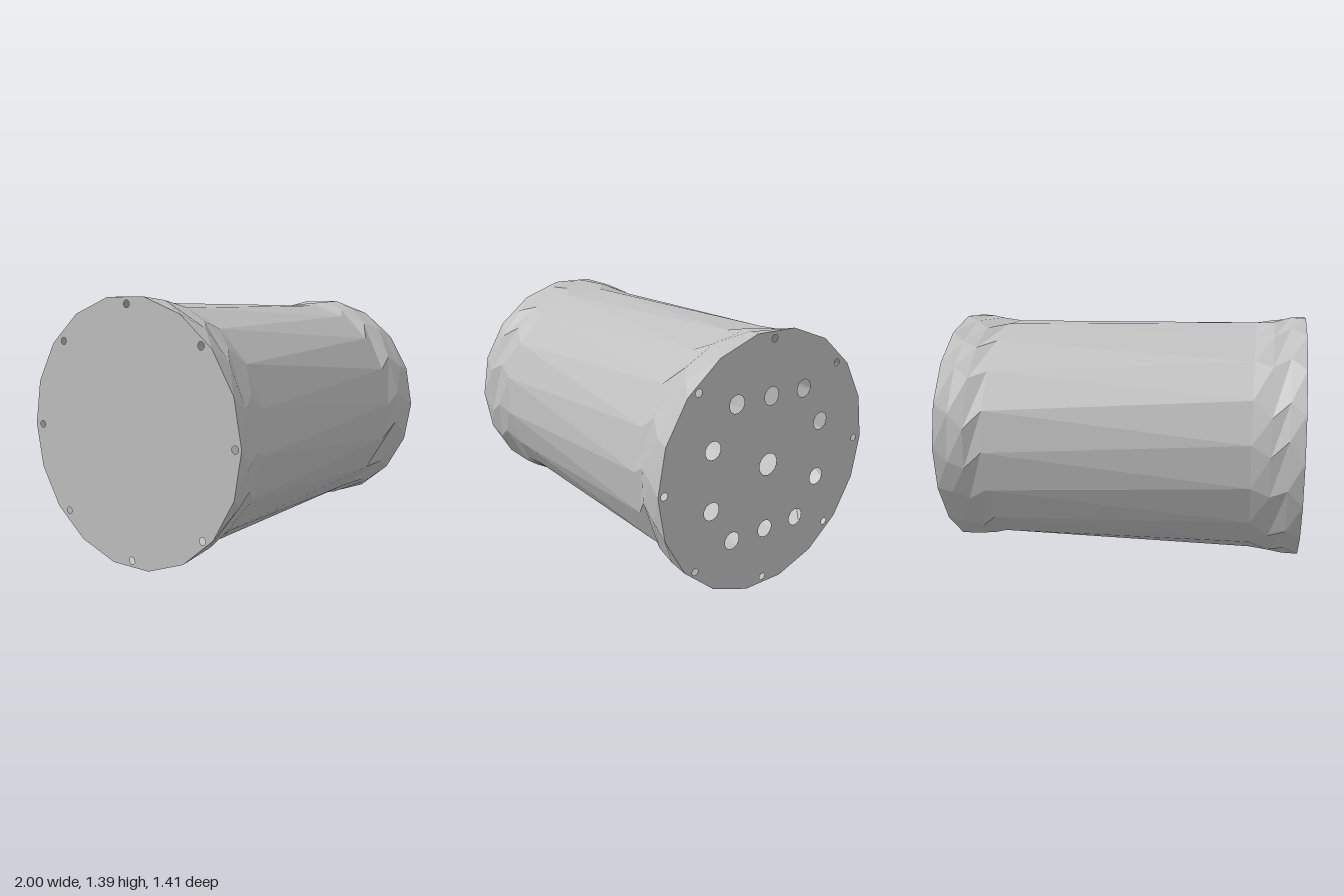
import * as THREE from 'three';

const SIDES = 18;
const CY = 0.6975;

// One cross-section of the shell: position, radius, twist in degrees, z offset of the centre, roughness
function ring(x, r, twist, cz = 0, rough = 0) {
  const pts = [];
  for (let i = 0; i < SIDES; i++) {
    const a = THREE.MathUtils.degToRad(twist + (i * 360) / SIDES + rough * 220 * Math.sin(i * 4.3 + x * 9));
    const rr = r - rough * Math.abs(Math.sin(i * 2.7 + x * 5));
    pts.push(new THREE.Vector3(x, CY + rr * Math.sin(a), cz + rr * Math.cos(a)));
  }
  return pts;
}

// Skin between successive rings, ordered from -x to +x
function loft(rings) {
  const pos = [];
  for (let k = 0; k + 1 < rings.length; k++) {
    const [p, q] = [rings[k], rings[k + 1]];
    for (let i = 0; i < SIDES; i++) {
      const j = (i + 1) % SIDES;
      for (const v of [p[i], q[i], q[j], p[i], q[j], p[j]]) pos.push(v.x, v.y, v.z);
    }
  }
  const g = new THREE.BufferGeometry();
  g.setAttribute('position', new THREE.Float32BufferAttribute(pos, 3));
  g.computeVertexNormals();
  return g;
}

// Thin end plate at side +1 or -1, pierced by holes given as [z, y, radius, sides]
function plate(outline, side, holes) {
  const shape = new THREE.Shape(outline.map((p) => new THREE.Vector2(-side * p.z, p.y)));
  for (const [z, y, r, n] of holes) {
    const pts = [];
    for (let i = 0; i < n; i++) {
      const a = ((i + 0.5) / n) * Math.PI * 2;
      pts.push(new THREE.Vector2(-side * z + r * Math.cos(a), y + r * Math.sin(a)));
    }
    shape.holes.push(new THREE.Path(pts));
  }
  const g = new THREE.ShapeGeometry(shape);
  g.rotateY((side * Math.PI) / 2);
  g.translate(side, 0, 0);
  return g;
}

export function createModel() {
  const group = new THREE.Group();
  const grey = new THREE.MeshStandardMaterial({ color: 0xc0c0c0 });
  grey.name = 'grey shell';
  grey.flatShading = true;
  grey.side = THREE.DoubleSide;
  const add = (name, geometry) => {
    const mesh = new THREE.Mesh(geometry, grey);
    mesh.name = name;
    group.add(mesh);
  };

  // Cross-sections of the hollow drum
  const leftEnd = ring(1, 0.703, -20);
  const leftRim = ring(0.92, 0.703, -16, 0, 0.012);
  const leftFlare = ring(0.83, 0.69, -11, -0.005, 0.012);
  const leftWaist = ring(0.73, 0.665, -18, -0.0125);
  const rightWaist = ring(-0.73, 0.667, -6.5, -0.0125);
  const rightFlare = ring(-0.83, 0.69, -1, -0.005, 0.012);
  const rightRim = ring(-0.92, 0.703, -7, 0, 0.01);
  const rightEnd = ring(-1, 0.703, 0);

  add('barrel', loft([rightWaist, leftWaist]));
  add('leftFlare', loft([leftWaist, leftFlare, leftRim]));
  add('leftRim', loft([leftRim, leftEnd]));
  add('rightFlare', loft([rightRim, rightFlare, rightWaist]));
  add('rightRim', loft([rightEnd, rightRim]));

  // Eight bolt holes around both plates
  const bolts = [];
  for (let i = 0; i < 8; i++) {
    const a = (i * Math.PI) / 4;
    bolts.push([0.01 + 0.6575 * Math.cos(a), CY + 0.6575 * Math.sin(a), 0.02, 8]);
  }

  // Port holes in the left plate: one in the centre, ten around it
  const ports = [[0.01, CY, 0.06, 14]];
  for (const s of [1, -1]) {
    for (const z of [0.238, 0.01, -0.216]) ports.push([z, CY + s * 0.366, 0.048, 12]);
    for (const z of [0.38, -0.358]) ports.push([z, CY + s * 0.16, 0.048, 12]);
  }

  add('leftEndPlate', plate(leftEnd, 1, [...bolts, ...ports]));
  add('rightEndPlate', plate(rightEnd, -1, bolts));
  return group;
}
